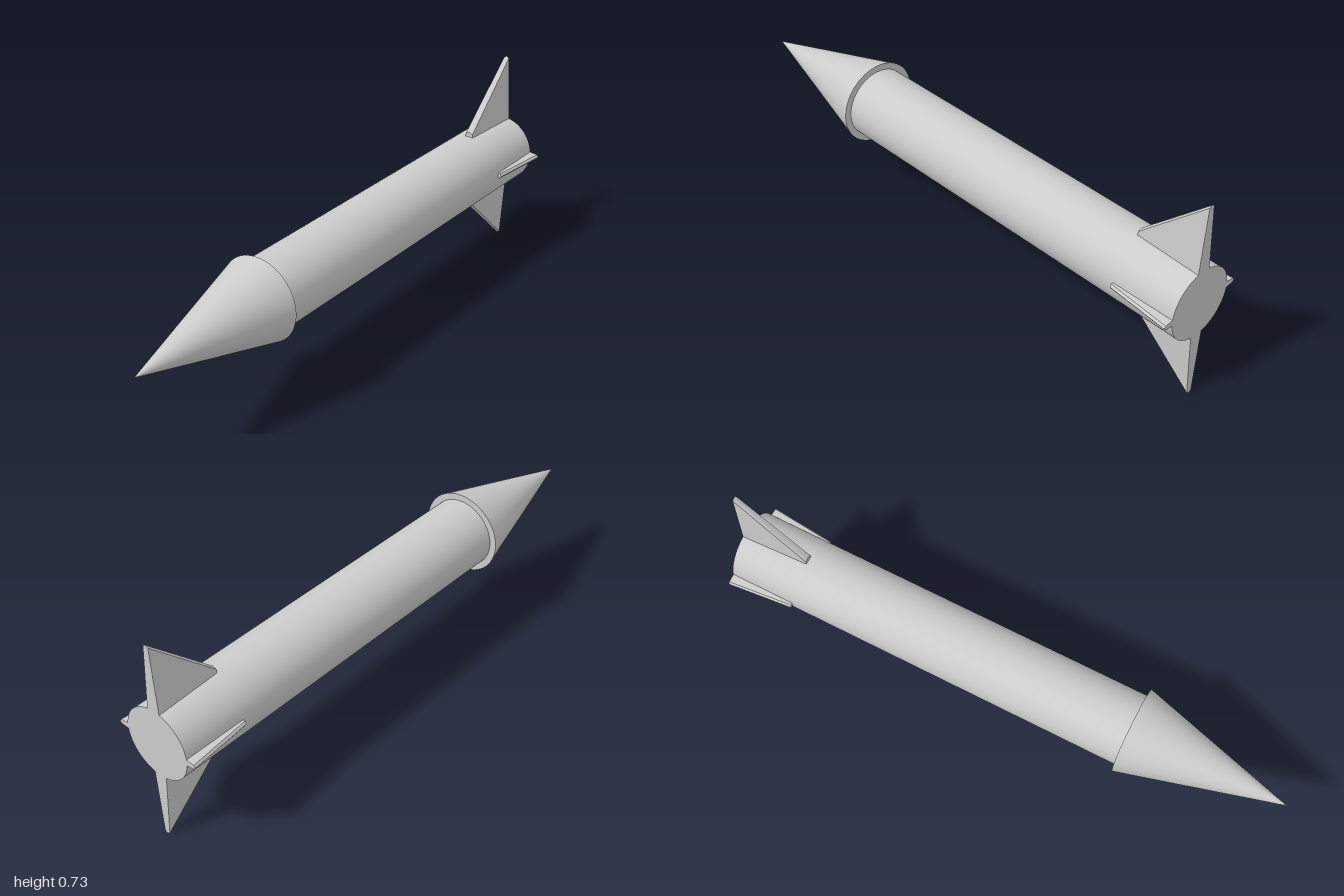
import * as THREE from 'three';
import { toCreasedNormals } from 'three/addons/utils/BufferGeometryUtils.js';

const AXIS_Y = 0.366;
const SEGMENTS = 64;
const REAR = -1;

// Tapered fin standing along +y: lofted between a front and a rear cross-section.
function finGeometry(zFront, front, rear) {
  const section = ({ root, tip, r }, z) => [
    [-root, 0.1, z], [root, 0.1, z], [tip, r - 0.006, z], [0, r, z], [-tip, r - 0.006, z],
  ];
  const F = section(front, zFront);
  const R = section(rear, REAR);
  const n = F.length;
  const pos = [];
  const tri = (...corners) => corners.forEach((c) => pos.push(...c));
  for (let i = 0; i < n; i++) {
    const j = (i + 1) % n;
    tri(F[i], R[i], F[j]);
    tri(F[j], R[i], R[j]);
    if (i > 0 && i < n - 1) {
      tri(F[0], F[i], F[j]);
      tri(R[0], R[j], R[i]);
    }
  }
  const geo = new THREE.BufferGeometry();
  geo.setAttribute('position', new THREE.Float32BufferAttribute(pos, 3));
  return toCreasedNormals(geo, Math.PI / 4);
}

export function createModel() {
  const model = new THREE.Group();
  model.name = 'rocket';
  const material = new THREE.MeshStandardMaterial({ color: 0xcccccc });

  const add = (name, geometry) => {
    const mesh = new THREE.Mesh(geometry, material);
    mesh.name = name;
    mesh.position.y = AXIS_Y;
    model.add(mesh);
    return mesh;
  };

  // Cylindrical body, its front end tucked inside the nose cone
  const bodyFront = 0.46;
  add('body', new THREE.CylinderGeometry(0.125, 0.125, bodyFront - REAR, SEGMENTS)
    .rotateX(Math.PI / 2).translate(0, 0, (bodyFront + REAR) / 2));

  // Overhanging nose cone with a flat back
  const noseBack = 0.445;
  add('noseCone', new THREE.ConeGeometry(0.149, 1 - noseBack, SEGMENTS, 6)
    .rotateX(Math.PI / 2).translate(0, 0, (1 + noseBack) / 2));

  // Two tall swept fins and two low side fins
  const tall = finGeometry(-0.76,
    { root: 0.017, tip: 0.014, r: 0.143 }, { root: 0.026, tip: 0.01, r: 0.366 });
  const low = finGeometry(-0.77,
    { root: 0.012, tip: 0.009, r: 0.138 }, { root: 0.014, tip: 0.008, r: 0.16 });
  [['topFin', tall], ['leftFin', low], ['bottomFin', tall], ['rightFin', low]]
    .forEach(([name, geometry], i) => {
      add(name, geometry).rotation.z = -i * Math.PI / 2;
    });

  return model;
}
